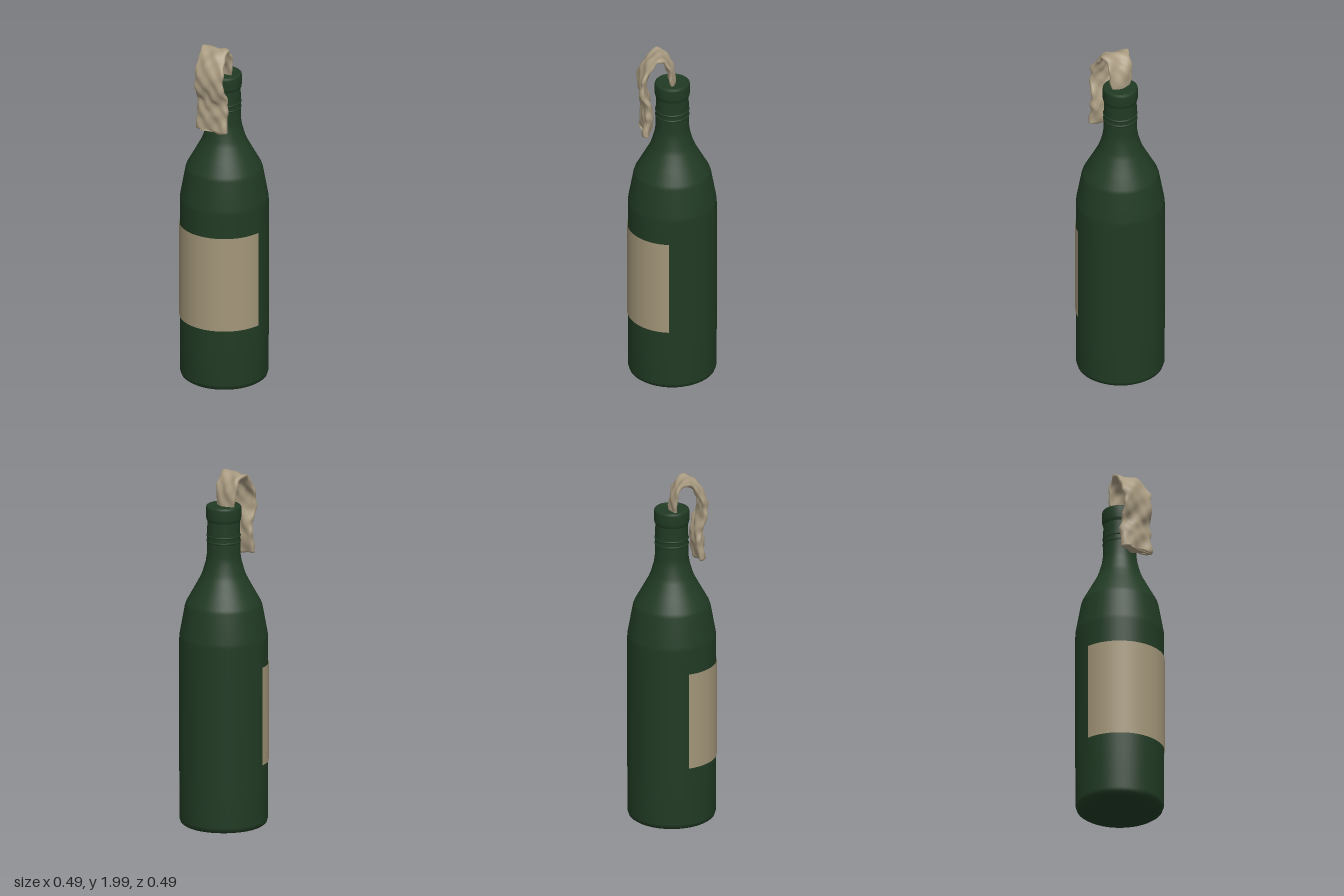
import * as THREE from 'three';

const glass = new THREE.MeshStandardMaterial({ color: 0x213b24 });
glass.name = 'green glass';
const paper = new THREE.MeshStandardMaterial({ color: 0xa39679, side: THREE.DoubleSide });
paper.name = 'label paper';
const cloth = new THREE.MeshStandardMaterial({ color: 0xaa9c82, side: THREE.DoubleSide });
cloth.name = 'rag cloth';

function part(name, geometry, material, y = 0) {
  const mesh = new THREE.Mesh(geometry, material);
  mesh.name = name;
  mesh.position.y = y;
  return mesh;
}

// Lathe from [radius, height] pairs
function lathe(points) {
  return new THREE.LatheGeometry(points.map(p => new THREE.Vector2(...p)), 48);
}

// Closed flat-oval cross-sections swept over an arch in the yz plane, with wavy folds
function ragGeometry() {
  // [z, y] centre line, then matching left edge, right edge and thickness
  const line = [[0.005, 1.72], [0.003, 1.83], [0.018, 1.92], [0.07, 1.975], [0.13, 1.94],
    [0.165, 1.86], [0.165, 1.78], [0.145, 1.7], [0.143, 1.62], [0.15, 1.525]];
  const left = [-0.06, -0.072, -0.082, -0.09, -0.09, -0.088, -0.085, -0.085, -0.088, -0.092];
  const right = [0.045, 0.055, 0.06, 0.066, 0.076, 0.088, 0.092, 0.104, 0.1, 0.11];
  const thick = [0.03, 0.036, 0.036, 0.036, 0.04, 0.046, 0.05, 0.052, 0.07, 0.055];
  const path = new THREE.CatmullRomCurve3(line.map(([z, y]) => new THREE.Vector3(0, y, z)));
  const at = (list, t) => {
    const f = t * (list.length - 1), i = Math.min(Math.floor(f), list.length - 2);
    return THREE.MathUtils.lerp(list[i], list[i + 1], f - i);
  };
  const rows = 72, sides = 40, positions = [], index = [];
  for (let r = 0; r <= rows; r++) {
    const t = r / rows, p = path.getPoint(t), d = path.getTangent(t);
    const l = at(left, t), w = at(right, t), h = at(thick, t) / 2;
    const ragged = 0.003 * Math.sin(t * 61) + 0.003 * Math.sin(t * 37 + 1);
    for (let s = 0; s < sides; s++) {
      const a = s / sides * Math.PI * 2, c = Math.cos(a), n = Math.sin(a);
      const x = (l + w) / 2 + c * ((w - l) / 2 + ragged);
      // Folds bend the whole sheet, bumps change its thickness
      const fold = 0.006 * Math.sin(x * 42 + t * 17) + 0.003 * Math.sin(x * 75 - t * 45);
      const bump = 1 + 0.16 * Math.sin(x * 55 + t * 40 + n * 2);
      const off = fold + Math.sign(n) * Math.pow(Math.abs(n), 0.6) * h * bump * 0.85;
      const hem = (r === rows ? 0.004 * Math.sin(x * 70) : 0);
      positions.push(x, p.y + d.z * off + hem, p.z - d.y * off);
    }
  }
  for (let r = 0; r < rows; r++) {
    for (let s = 0; s < sides; s++) {
      const a = r * sides + s, b = r * sides + (s + 1) % sides;
      index.push(a, b, a + sides, b, b + sides, a + sides);
    }
  }
  // Close both ends
  for (let s = 1; s < sides - 1; s++) {
    const e = rows * sides;
    index.push(0, s + 1, s, e, e + s, e + s + 1);
  }
  const geometry = new THREE.BufferGeometry();
  geometry.setAttribute('position', new THREE.Float32BufferAttribute(positions, 3));
  geometry.setIndex(index);
  geometry.computeVertexNormals();
  return geometry;
}

export function createModel() {
  const model = new THREE.Group();
  model.name = 'bottle with rag';

  // Glass body, from the base up to the neck
  model.add(part('bottleBody', lathe([
    [0, 0.012], [0.15, 0.01], [0.2, 0.004], [0.222, 0.008], [0.236, 0.018], [0.243, 0.04], [0.244, 0.3],
    [0.244, 0.7], [0.244, 1.06], [0.242, 1.085], [0.213, 1.245], [0.205, 1.268], [0.165, 1.34],
    [0.127, 1.41], [0.115, 1.44], [0.098, 1.5], [0.093, 1.535], [0.091, 1.6], [0.09, 1.74]
  ]), glass));

  // Lip around the mouth and the stopper surface inside it
  model.add(part('lip', lathe([
    [0.088, 1.722], [0.094, 1.735], [0.097, 1.75], [0.097, 1.8], [0.095, 1.81], [0.09, 1.815], [0.083, 1.816]
  ]), glass));
  model.add(part('mouth', lathe([[0.083, 1.816], [0.08, 1.811], [0, 1.811]]), glass));

  // Two raised rings on the neck
  for (const y of [1.613, 1.645]) {
    const ring = part('neckRing', new THREE.TorusGeometry(0.089, 0.006, 8, 48), glass, y);
    ring.rotation.x = Math.PI / 2;
    model.add(ring);
  }

  // Paper label wrapped around the front
  const sweep = THREE.MathUtils.degToRad(159);
  model.add(part('label',
    new THREE.CylinderGeometry(0.247, 0.247, 0.555, 40, 1, true, -sweep / 2, sweep), paper, 0.645));

  // Rag hanging out of the mouth
  model.add(part('rag', ragGeometry(), cloth));
  return model;
}
